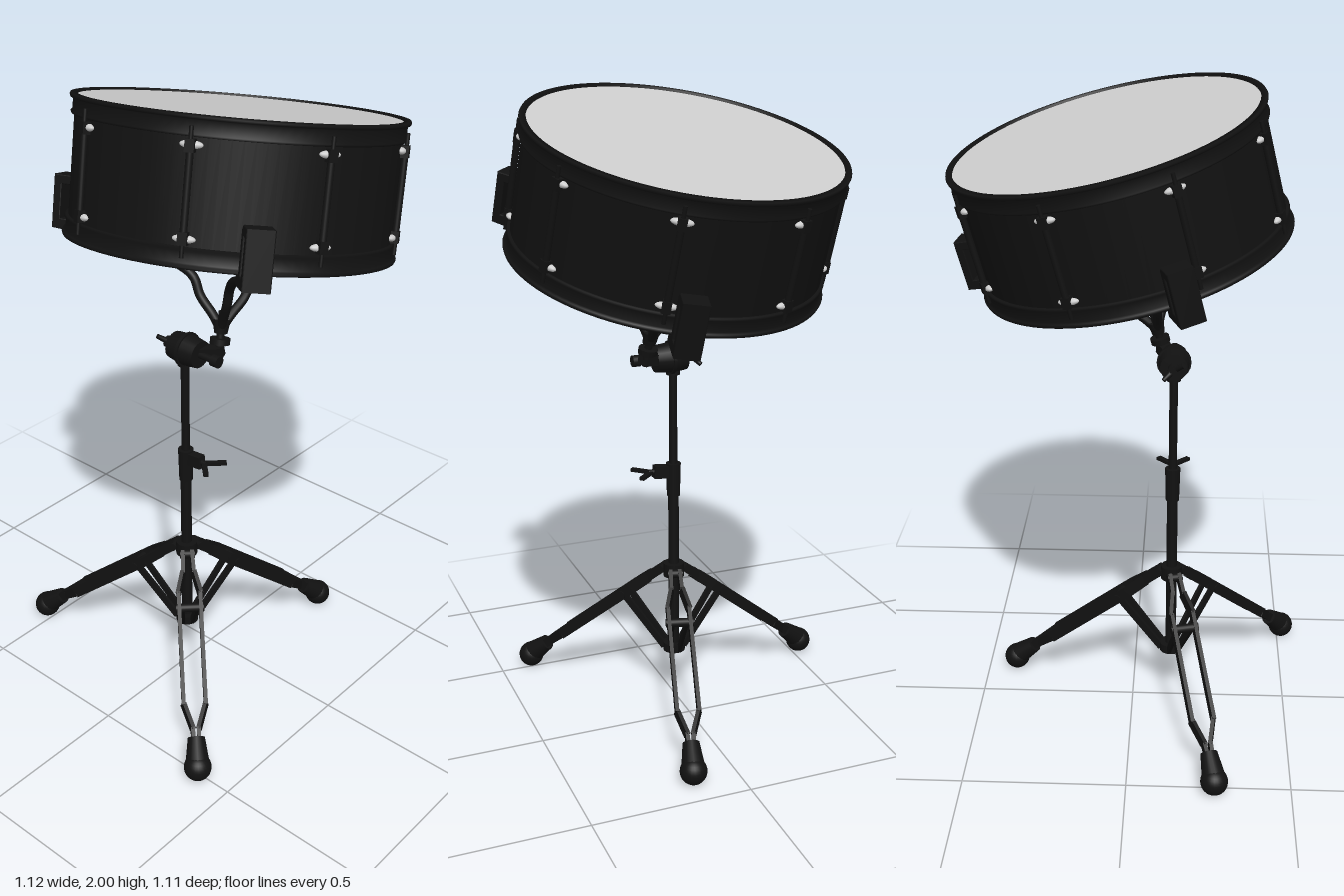
import * as THREE from 'three';

const DARK = new THREE.MeshStandardMaterial({ color: 0x111111 });
const LIGHT = new THREE.MeshStandardMaterial({ color: 0xcccccc });
const V = (x, y, z) => new THREE.Vector3(x, y, z);
const UP = V(0, 1, 0);
const rad = THREE.MathUtils.degToRad;

function add(parent, name, geometry, material = DARK) {
  const mesh = new THREE.Mesh(geometry, material);
  mesh.name = name;
  parent.add(mesh);
  return mesh;
}

function sub(parent, name, angle = 0) {
  const g = new THREE.Group();
  g.name = name;
  g.rotation.y = angle; // local +z points outwards
  parent.add(g);
  return g;
}

// round rod from a to b
function rod(parent, name, a, b, r0, r1 = r0, sides = 20) {
  const m = add(parent, name, new THREE.CylinderGeometry(r1, r0, a.distanceTo(b), sides));
  m.position.copy(a).lerp(b, 0.5);
  m.quaternion.setFromUnitVectors(UP, b.clone().sub(a).normalize());
  return m;
}

// flat bar from a to b: w sideways, h upright
function bar(parent, name, a, b, w, h) {
  const m = add(parent, name, new THREE.BoxGeometry(w, h, a.distanceTo(b) + w * 0.5));
  m.position.copy(a).lerp(b, 0.5);
  const z = b.clone().sub(a).normalize();
  const x = UP.clone().cross(z).normalize();
  m.quaternion.setFromRotationMatrix(new THREE.Matrix4().makeBasis(x, z.clone().cross(x), z));
  return m;
}

function ball(parent, name, p, s, material = DARK) {
  const m = add(parent, name, new THREE.SphereGeometry(1, 24, 16), material);
  m.position.copy(p);
  m.scale.copy(s);
  return m;
}

function buildDrum(parent) {
  const drum = sub(parent, 'drum');
  const H = 0.196;

  // shell, straight sided and open at both ends
  add(drum, 'shell', new THREE.CylinderGeometry(0.462, 0.462, 2 * H - 0.03, 96, 1, true));

  // hoops with a turned-out lip, and the heads inside them
  for (const s of [1, -1]) {
    const hoop = [[0.458, H - 0.03], [0.458, H], [0.476, H], [0.478, H - 0.005], [0.476, H - 0.011],
      [0.468, H - 0.014], [0.468, H - 0.045], [0.473, H - 0.05], [0.47, H - 0.056], [0.46, H - 0.056]]
      .map(([r, y]) => new THREE.Vector2(r, s * y));
    const mat = DARK.clone();
    mat.side = THREE.DoubleSide;
    add(drum, s > 0 ? 'topHoop' : 'bottomHoop', new THREE.LatheGeometry(hoop, 96), mat);
    const head = add(drum, s > 0 ? 'topHead' : 'bottomHead', new THREE.CircleGeometry(0.462, 96), LIGHT);
    head.rotation.x = -s * Math.PI / 2;
    head.position.y = s * (H - 0.006);
  }

  // eight tube lugs with bright ends and tension rods
  for (let i = 0; i < 8; i++) {
    const lug = sub(drum, 'lug', rad(24.5 + i * 45));
    rod(lug, 'lugTube', V(0, -0.125, 0.473), V(0, 0.125, 0.473), 0.01);
    for (const s of [1, -1]) {
      ball(lug, 'lugEnd', V(0, s * 0.12, 0.464), V(0.032, 0.011, 0.014), LIGHT);
      const post = add(lug, 'lugPost', new THREE.BoxGeometry(0.026, 0.034, 0.028));
      post.position.set(0, s * 0.118, 0.47);
      rod(lug, 'tensionRod', V(0, s * 0.13, 0.475), V(0, s * 0.168, 0.475), 0.006);
    }
  }
  return drum;
}

// cradle in the drum's tilted frame: h = 0 is the drum's bottom edge
function buildBasket(drum) {
  const basket = sub(drum, 'basket');
  basket.position.y = -0.196;
  for (const a of [47, -73, 167]) {
    const arm = sub(basket, 'basketArm', rad(a));
    const path = new THREE.CatmullRomCurve3([[0.008, -0.245], [0.03, -0.215], [0.075, -0.165], [0.1, -0.115],
      [0.15, -0.085], [0.3, -0.05], [0.47, -0.012]].map(([r, h]) => V(0, h, r)));
    add(arm, 'armTube', new THREE.TubeGeometry(path, 48, 0.014, 12));

    // open rectangular grip hooked around the hoop
    const s = new THREE.Shape([[0.445, -0.03], [0.556, -0.025], [0.556, 0.13], [0.495, 0.13], [0.482, 0.118],
      [0.482, 0.0], [0.445, -0.006]].map(([r, h]) => new THREE.Vector2(r, h)));
    s.holes.push(new THREE.Path([[0.502, 0.0], [0.502, 0.108], [0.536, 0.108], [0.536, 0.0]]
      .map(([r, h]) => new THREE.Vector2(r, h))));
    const grip = add(arm, 'grip', new THREE.ExtrudeGeometry(s, {
      depth: 0.07, bevelEnabled: true, bevelSize: 0.003, bevelThickness: 0.003, bevelSegments: 2,
    }));
    grip.rotation.y = -Math.PI / 2; // shape x runs outwards
    grip.position.x = 0.035;
  }
  rod(basket, 'basketHub', V(0, -0.265, 0), V(0, -0.225, 0), 0.02, 0.026);
  rod(basket, 'basketSpindle', V(0, -0.34, 0), V(0, -0.2, 0), 0.012);
  rod(basket, 'adjustingNut', V(0, -0.298, 0), V(0, -0.28, 0), 0.03);
}

function buildLeg(stand, angle) {
  const leg = sub(stand, 'leg', rad(angle));
  const at = (t, x) => V(x, 0.465 - 0.42 * t, 0.035 + 0.515 * t);
  // twin strips: narrow at the collar, parallel, then joined at the foot
  const line = [[0, 0.014], [0.1, 0.017], [0.2, 0.034], [0.72, 0.034], [0.83, 0.01], [0.9, 0.008]];
  for (const s of [1, -1]) {
    for (let i = 0; i < line.length - 1; i++) {
      const tall = i === 1 || i === 2 ? 0.034 : 0.028;
      bar(leg, 'legStrip', at(line[i][0], s * line[i][1]), at(line[i + 1][0], s * line[i + 1][1]), 0.012, tall);
    }
    bar(leg, 'brace', at(0.27, s * 0.022), V(s * 0.014, 0.185, 0.03), 0.01, 0.022);
  }
  rod(leg, 'braceRivet', at(0.27, -0.044), at(0.27, 0.044), 0.014);
  rod(leg, 'topRivet', at(0.01, -0.024), at(0.01, 0.024), 0.014);
  rod(leg, 'footSocket', at(0.87, 0), at(0.98, 0), 0.026, 0.036);
  ball(leg, 'rubberFoot', V(0, 0.042, 0.548), V(0.042, 0.042, 0.042));
}

function buildStand(parent) {
  const stand = sub(parent, 'stand');
  stand.position.set(0.005, 0, 0.125);
  rod(stand, 'lowerTube', V(0, 0.18, 0), V(0, 0.76, 0), 0.017);
  rod(stand, 'upperTube', V(0, 0.7, 0), V(0, 1.16, 0), 0.013);
  rod(stand, 'legCollar', V(0, 0.44, 0), V(0, 0.485, 0), 0.034);
  rod(stand, 'braceCollar', V(0, 0.172, 0), V(0, 0.2, 0), 0.036);
  for (const a of [45, -75, 165]) buildLeg(stand, a);

  // height clamp with wing bolt
  rod(stand, 'heightSleeve', V(0, 0.72, 0), V(0, 0.83, 0), 0.021, 0.024);
  bar(stand, 'clampEar', V(0.01, 0.803, 0), V(0.06, 0.808, 0), 0.028, 0.04);
  rod(stand, 'clampBolt', V(0.05, 0.808, 0), V(0.085, 0.808, 0), 0.009);
  for (const s of [1, -1]) {
    bar(stand, 'clampWing', V(0.075, 0.808, 0), V(0.122, 0.808, s * 0.045), 0.016, 0.01);
  }

  // tilter: a ribbed barrel lying sideways, with wing nut and spindle clamp
  const tilter = sub(stand, 'tilter');
  tilter.position.y = 1.18;
  rod(tilter, 'postCap', V(0, -0.055, 0), V(0, -0.01, 0), 0.022);
  rod(tilter, 'barrelLeft', V(0.012, 0, 0), V(0.062, 0, 0), 0.048, 0.042);
  rod(tilter, 'barrelRight', V(0.006, 0, 0), V(-0.04, 0, 0), 0.048, 0.042);
  rod(tilter, 'ratchetRing', V(0.004, 0, 0), V(0.014, 0, 0), 0.053);
  rod(tilter, 'axle', V(-0.075, 0, 0), V(0.13, 0, 0), 0.011);
  rod(tilter, 'wingNutHub', V(-0.07, 0, 0), V(-0.045, 0, 0), 0.018);
  for (const s of [1, -1]) {
    rod(tilter, 'wingNut', V(-0.06, 0, 0), V(-0.082, s * 0.024, s * 0.03), 0.01, 0.007);
  }
  bar(tilter, 'spindleClamp', V(0.05, 0, -0.01), V(0.105, 0.012, -0.035), 0.04, 0.035);
  rod(tilter, 'clampKnob', V(0.11, 0, 0), V(0.135, 0, 0), 0.018);
}

export function createModel() {
  const model = new THREE.Group();
  model.name = 'drumOnStand';
  buildStand(model);
  const drum = buildDrum(model);
  buildBasket(drum);
  // the drum leans back and a little to one side
  drum.position.set(0.057, 1.69, -0.036);
  drum.quaternion.setFromUnitVectors(UP, V(-0.1, 1, -0.248).normalize());
  return model;
}
